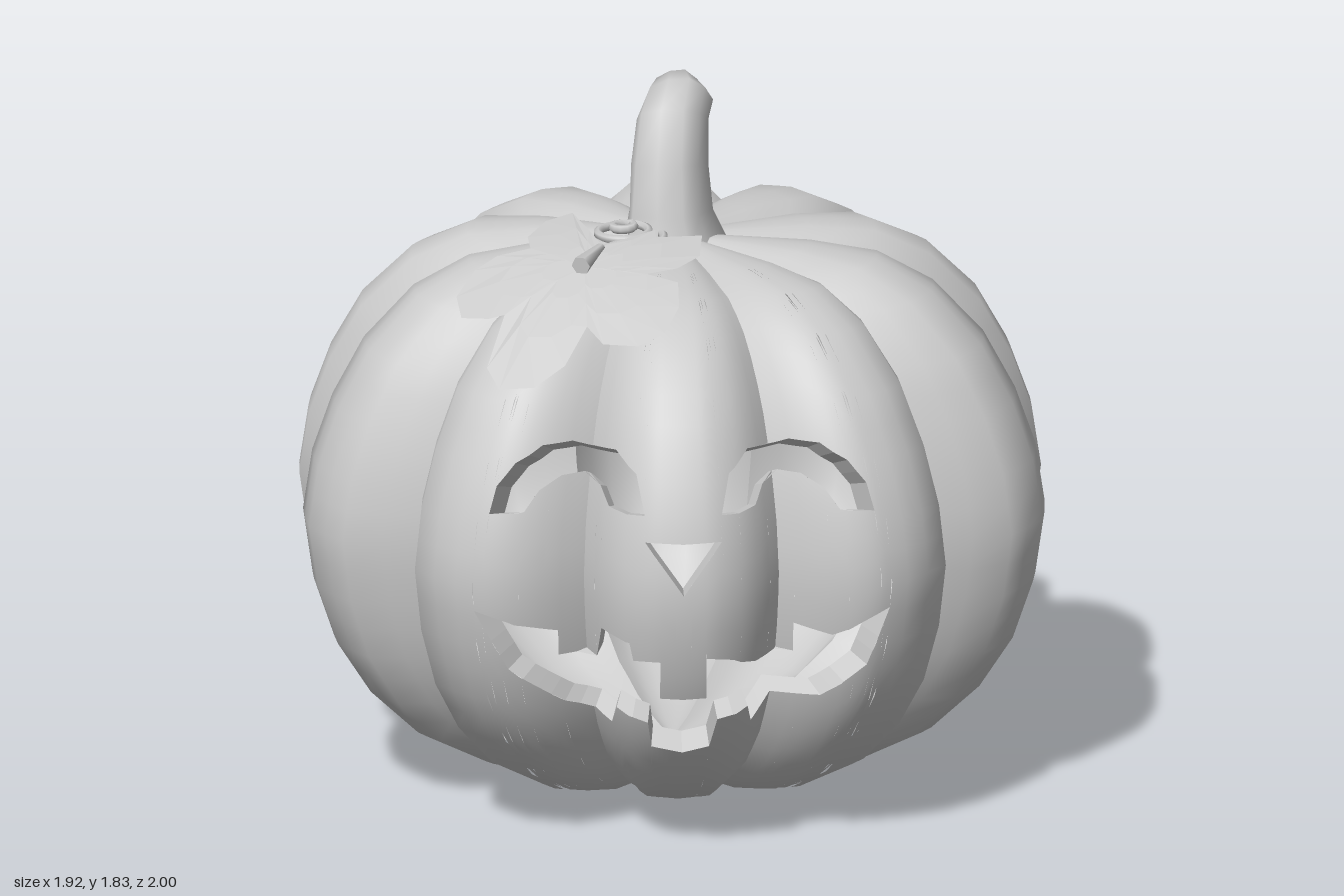
import * as THREE from 'three';

const grey = (opts = {}) => new THREE.MeshStandardMaterial({ color: 0xcccccc, ...opts });
const lerp = THREE.MathUtils.lerp, clamp = THREE.MathUtils.clamp;
const LOBE = Math.PI / 5, MID = 0.72;

// Ridge profile of the shell, bottom to top: [radius, height]
const PROFILE = [[0.01, 0], [0.2, 0.004], [0.35, 0.02], [0.54, 0.07], [0.7, 0.155], [0.83, 0.28], [0.92, 0.42],
  [0.975, 0.58], [1, 0.75], [0.975, 0.91], [0.92, 1.06], [0.835, 1.21], [0.7, 1.345], [0.55, 1.418],
  [0.37, 1.44], [0.2, 1.441], [0.01, 1.442]];
const TOP = PROFILE.length - 1;

// Ten lobes: full radius on the ridge, creased in at the valley
function lobe(theta) {
  const a = Math.abs(theta - Math.round(theta / LOBE) * LOBE) / (LOBE / 4);
  return a < 1 ? lerp(1, 0.974, a) : lerp(0.974, 0.82, a - 1);
}

// Point on the shell at angle theta (0 = front) and profile position v
function shellPoint(theta, v, scale = 1) {
  const i = clamp(Math.floor(v), 0, TOP - 1), t = v - i;
  const R = lerp(PROFILE[i][0], PROFILE[i + 1][0], t);
  const y = lerp(PROFILE[i][1], PROFILE[i + 1][1], t) - MID;
  const f = lobe(theta), squash = 1 - 0.22 * (1 - f) * Math.min(1, R / 0.4);
  return new THREE.Vector3(R * f * Math.sin(theta) * scale, MID + y * squash * scale, R * f * Math.cos(theta) * scale);
}

function shellNormal(theta, v, centre) {
  const lo = centre - LOBE / 2 + 1e-4, hi = centre + LOBE / 2 - 1e-4;
  const across = shellPoint(clamp(theta + 0.1, lo, hi), v).sub(shellPoint(clamp(theta - 0.1, lo, hi), v));
  const up = shellPoint(theta, Math.min(TOP, v + 0.5)).sub(shellPoint(theta, Math.max(0, v - 0.5)));
  return across.cross(up).normalize();
}

function bisect(fn, lo, hi) {
  for (let i = 0; i < 30; i++) {
    const m = (lo + hi) / 2;
    if (fn(m) < 0) lo = m; else hi = m;
  }
  return (lo + hi) / 2;
}

// Carry a flat front outline onto the shell as [theta, v] points
function project(outline) {
  const out = [];
  outline.forEach(([x0, y0], k) => {
    const [x1, y1] = outline[(k + 1) % outline.length];
    const n = Math.ceil(Math.hypot(x1 - x0, y1 - y0) / 0.05);
    for (let j = 0; j < n; j++) {
      const x = lerp(x0, x1, j / n), y = lerp(y0, y1, j / n);
      let theta = 0, v = TOP / 2;
      for (let it = 0; it < 6; it++) {
        theta = bisect(a => shellPoint(a, v).x - x, -0.77, 0.77);
        v = bisect(a => shellPoint(theta, a).y - y, 1, TOP - 2);
      }
      out.push([Math.round(theta * 1000) / 1000, v]);
    }
  });
  return out;
}

// Face cut-outs in front view
const EYE = [[0.1, 0.97], [0.12, 1.07], [0.17, 1.11], [0.23, 1.09], [0.28, 1.11], [0.36, 1.11], [0.43, 1.07],
  [0.48, 1.01], [0.5, 0.94], [0.41, 0.95], [0.37, 1.0], [0.31, 1.03], [0.25, 1.03], [0.21, 1.01], [0.19, 0.97]];
const NOSE = [[-0.1, 0.905], [0.1, 0.905], [0, 0.77]];
const MOUTH = [[-0.54, 0.68], [-0.32, 0.62], [-0.32, 0.55], [-0.22, 0.55], [-0.21, 0.64], [-0.14, 0.63], [-0.13, 0.58],
  [-0.06, 0.58], [-0.06, 0.47], [0.06, 0.47], [0.06, 0.59], [0.13, 0.58], [0.19, 0.55], [0.29, 0.55], [0.29, 0.63],
  [0.39, 0.61], [0.54, 0.68], [0.48, 0.52], [0.36, 0.43], [0.23, 0.42], [0.18, 0.36], [0.17, 0.42], [0.09, 0.4],
  [0.07, 0.31], [0, 0.295], [-0.08, 0.31], [-0.09, 0.39], [-0.17, 0.42], [-0.18, 0.36], [-0.3, 0.41], [-0.45, 0.52]];
const INNER = 0.915;

// Shell in vertical strips, leaving out the spans inside the cut-outs
function shellGeometry(loops, scale, inward) {
  const pos = [], nor = [], idx = [];
  const edges = loops.flatMap(l => l.map((p, i) => [p, l[(i + 1) % l.length]]));
  const cuts = loops.flat().map(p => p[0]);
  for (let i = -40; i <= 40; i++) cuts.push(i * LOBE / 8);
  cuts.sort((a, b) => a - b);
  for (let c = 0; c < cuts.length - 1; c++) {
    const t0 = cuts[c], t1 = cuts[c + 1], mid = (t0 + t1) / 2;
    if (t1 - t0 < 1e-7) continue;
    const centre = Math.round(mid / LOBE) * LOBE;
    const at = ([a, b], t) => lerp(a[1], b[1], (t - a[0]) / (b[0] - a[0]));
    const lines = edges.filter(([a, b]) => (a[0] < mid) !== (b[0] < mid))
      .sort((e, f) => at(e, mid) - at(f, mid)).map(e => [at(e, t0), at(e, t1)]);
    const bounds = [[0, 0], ...lines, [TOP, TOP]];
    for (let s = 0; s < bounds.length; s += 2) {
      const lo = bounds[s], hi = bounds[s + 1];
      const n = Math.max(1, Math.ceil(Math.max(hi[0] - lo[0], hi[1] - lo[1]) * 2));
      for (let r = 0; r <= n; r++) {
        [t0, t1].forEach((t, side) => {
          const v = lerp(lo[side], hi[side], r / n), b = pos.length / 3;
          pos.push(...shellPoint(t, v, scale));
          nor.push(...shellNormal(t, v, centre).multiplyScalar(inward ? -1 : 1));
          if (r < n && side === 0) {
            if (inward) idx.push(b, b + 3, b + 1, b, b + 2, b + 3);
            else idx.push(b, b + 1, b + 3, b, b + 3, b + 2);
          }
        });
      }
    }
  }
  return meshData(pos, idx, nor);
}

function meshData(pos, idx, nor) {
  const g = new THREE.BufferGeometry();
  g.setAttribute('position', new THREE.Float32BufferAttribute(pos, 3));
  g.setIndex(idx);
  if (nor) g.setAttribute('normal', new THREE.Float32BufferAttribute(nor, 3));
  else g.computeVertexNormals();
  return g;
}

// Join equal-sized closed rings of points with quads
function loft(rings) {
  const n = rings[0].length, idx = [];
  for (let r = 0; r < rings.length - 1; r++) for (let i = 0; i < n; i++) {
    const a = r * n + i, b = r * n + (i + 1) % n;
    idx.push(a, b, b + n, a, b + n, a + n);
  }
  return meshData(rings.flat().flatMap(p => [...p]), idx);
}

// Curved stem: [x, y, z, radius, backward tilt, ridge depth]
function stemGeometry() {
  const rings = [[0, 1.42, 0, 0.13, 0, 0.12], [-0.01, 1.5, -0.01, 0.108, 0.05, 0.08], [-0.01, 1.62, -0.03, 0.1, 0.2, 0.05],
    [0, 1.725, -0.075, 0.093, 0.6, 0.04], [0.02, 1.76, -0.13, 0.088, 1, 0.03], [0.02, 1.75, -0.235, 0.064, 1.4, 0.03],
    [0.02, 1.75, -0.235, 0.001, 1.4, 0]];
  return loft(rings.map(([x, y, z, r, tilt, ridge]) => Array.from({ length: 10 }, (_, i) => {
    const a = i / 10 * Math.PI * 2, q = r * (1 + ridge * Math.cos(5 * a));
    const w = -Math.sin(a) * q;
    return new THREE.Vector3(x + Math.cos(a) * q, y + w * Math.sin(tilt), z + w * Math.cos(tilt));
  })));
}

// Lobed leaf drooping over the shoulder of the shell, outline in [x, z]
function leafGeometry() {
  const outline = [[-0.26, 0.06], [-0.22, 0.2], [-0.19, 0.3], [-0.05, 0.22], [-0.05, 0.27], [0.07, 0.26], [0.06, 0.38],
    [0, 0.44], [-0.08, 0.46], [0, 0.5], [0, 0.59], [-0.04, 0.67], [-0.11, 0.7], [-0.2, 0.68], [-0.24, 0.62],
    [-0.3, 0.71], [-0.38, 0.735], [-0.47, 0.7], [-0.5, 0.63], [-0.45, 0.5], [-0.49, 0.49], [-0.56, 0.44],
    [-0.57, 0.35], [-0.52, 0.27], [-0.46, 0.24], [-0.375, 0.25], [-0.38, 0.18], [-0.33, 0.095]];
  return loft([1, 0.66, 0.33, 0.001].map(s => outline.map(([ox, oz]) => {
    const x = lerp(-0.24, ox, s), z = lerp(0.4, oz, s);
    return new THREE.Vector3(x, 1.525 - 0.47 * Math.hypot(x, z) ** 3, z);
  })));
}

export function createModel() {
  const model = new THREE.Group();
  const add = (name, geometry, material) => {
    const mesh = new THREE.Mesh(geometry, material);
    mesh.name = name;
    model.add(mesh);
    return mesh;
  };

  const loops = [EYE, EYE.map(([x, y]) => [-x, y]), NOSE, MOUTH].map(project);
  add('outerShell', shellGeometry(loops, 1, false), grey());
  add('innerShell', shellGeometry(loops, INNER, true), grey());

  // Cut walls between the outer and inner shell
  ['leftEye', 'rightEye', 'nose', 'mouth'].forEach((name, k) => {
    const rings = [1, INNER].map(s => loops[k].map(([t, v]) => shellPoint(t, v, s)));
    add(name + 'Walls', loft(rings), grey({ side: THREE.DoubleSide, flatShading: true }));
  });

  add('stem', stemGeometry(), grey({ side: THREE.DoubleSide }));
  add('leaf', leafGeometry(), grey({ side: THREE.DoubleSide, flatShading: true }));

  // Tendril: from the leaf into a flat spiral beside the stem
  const path = [[-0.2, 1.495, 0.32], [-0.15, 1.49, 0.25], [-0.08, 1.48, 0.205]].map(p => new THREE.Vector3(...p));
  for (let i = 0; i <= 20; i++) {
    const a = 0.9 - i / 20 * Math.PI * 4.4, r = lerp(0.1, 0.015, i / 20);
    path.push(new THREE.Vector3(-0.12 + Math.cos(a) * r, lerp(1.465, 1.5, i / 20), 0.11 + Math.sin(a) * r));
  }
  add('tendril', new THREE.TubeGeometry(new THREE.CatmullRomCurve3(path), 70, 0.012, 6), grey());

  // Flared leaf stalk
  const stalk = add('leafStalk', new THREE.CylinderGeometry(0.012, 0.026, 0.13, 6), grey());
  stalk.position.set(-0.222, 1.495, 0.365);
  stalk.quaternion.setFromUnitVectors(new THREE.Vector3(0, 1, 0), new THREE.Vector3(0.43, 0.1, -0.9).normalize());
  return model;
}
